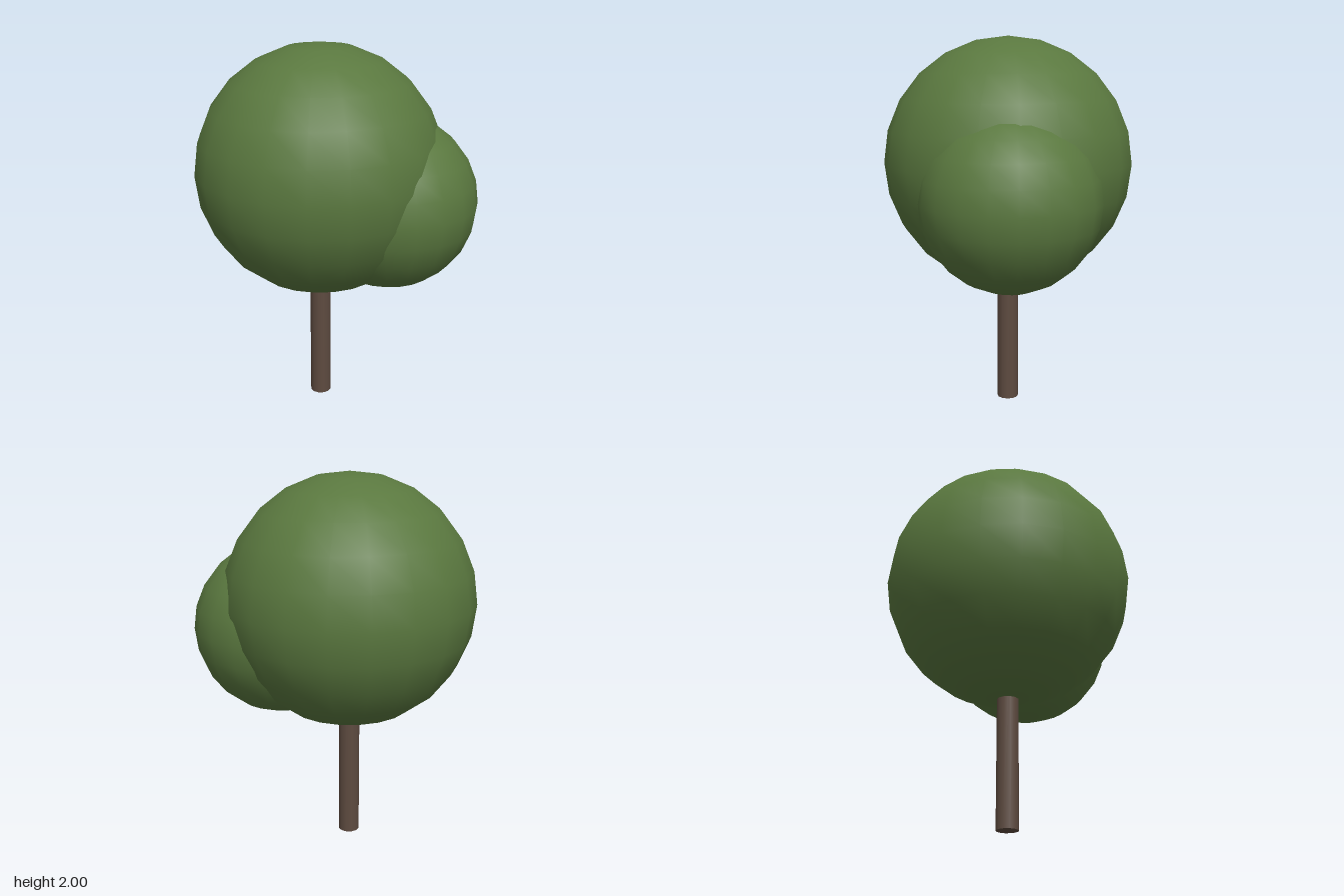
import * as THREE from 'three';

export function createModel() {
  const group = new THREE.Group();
  const leafGreen = new THREE.MeshStandardMaterial({ color: 0x5a783f });
  leafGreen.name = 'leafGreen';
  const barkBrown = new THREE.MeshStandardMaterial({ color: 0x5e4b40 });
  barkBrown.name = 'barkBrown';

  const add = (name, geometry, material, x, y, z) => {
    const mesh = new THREE.Mesh(geometry, material);
    mesh.name = name;
    mesh.position.set(x, y, z);
    group.add(mesh);
  };

  // Trunk, running up into the crown
  const trunkHeight = 1.0;
  add('trunk', new THREE.CylinderGeometry(0.058, 0.058, trunkHeight, 12), barkBrown, -0.06, trunkHeight / 2, 0);

  // Large crown and the smaller clump behind it on the left
  add('mainFoliage', new THREE.SphereGeometry(0.663, 20, 12), leafGreen, -0.06, 1.337, 0);
  add('sideFoliage', new THREE.SphereGeometry(0.467, 20, 12), leafGreen, 0.253, 1.178, -0.2);

  return group;
}
